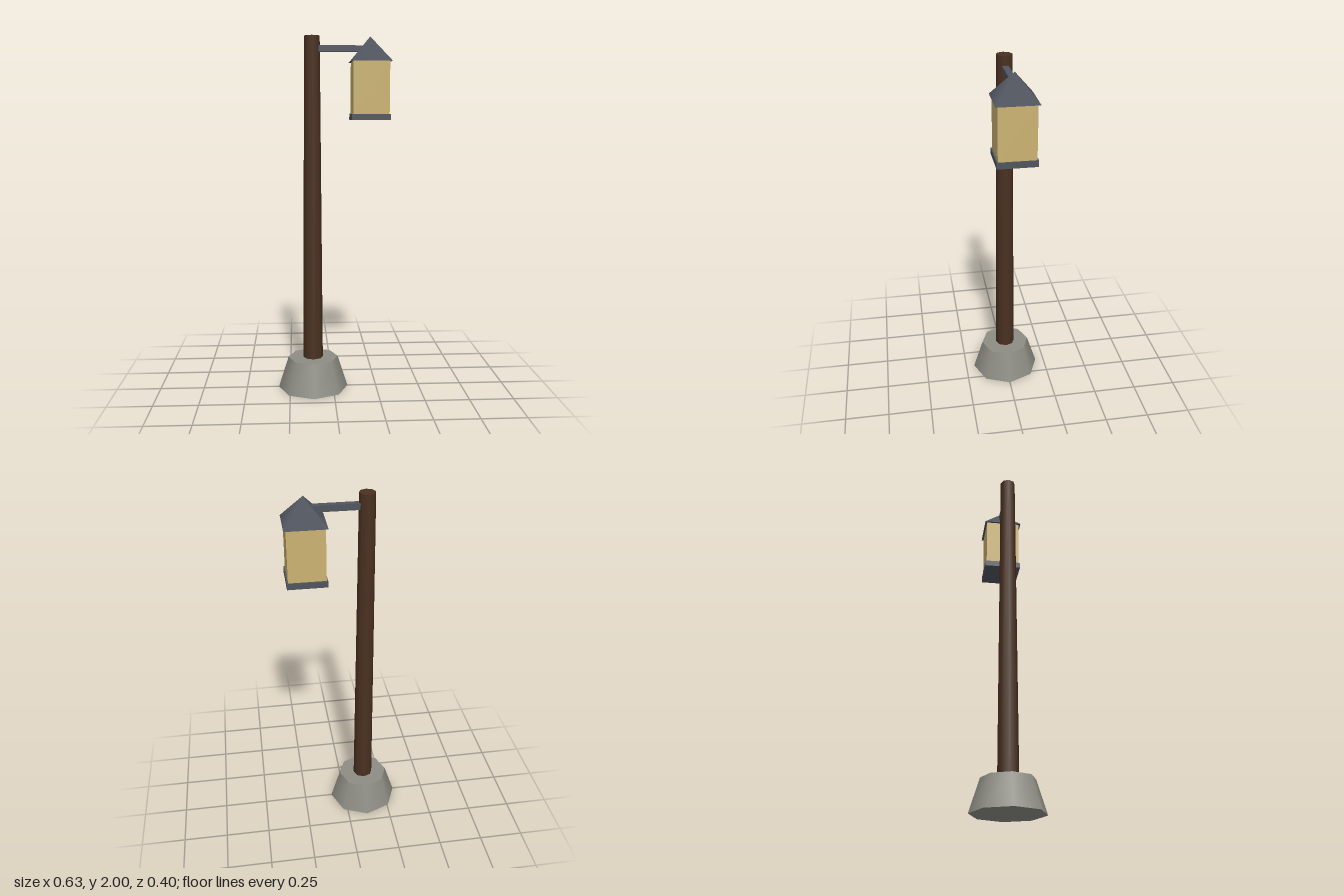
import * as THREE from 'three';

const POST_X = -0.116;
const LAMP_X = 0.204;

function material(name, color) {
  const m = new THREE.MeshStandardMaterial({ color });
  m.name = name;
  return m;
}

export function createModel() {
  const stone = material('stone', 0x8d8d84);
  const wood = material('darkWood', 0x4a3121);
  const metal = material('greyMetal', 0x50555f);
  const glass = material('amberGlass', 0xcbb372);

  const model = new THREE.Group();
  model.name = 'lampPost';

  // Places a geometry so that its underside sits at the given height
  function add(parent, name, geometry, mat, x, bottom) {
    geometry.computeBoundingBox();
    const mesh = new THREE.Mesh(geometry, mat);
    mesh.name = name;
    mesh.position.set(x, bottom - geometry.boundingBox.min.y, 0);
    parent.add(mesh);
    return mesh;
  }

  // Footing and tapered eight-sided post
  add(model, 'footing', new THREE.CylinderGeometry(0.143, 0.2, 0.18, 8), stone, POST_X, 0);
  add(model, 'post', new THREE.CylinderGeometry(0.043, 0.057, 1.9, 8), wood, POST_X, 0.1);

  // Arm from the post into the lantern roof
  add(model, 'arm', new THREE.BoxGeometry(0.3, 0.034, 0.034), metal, 0.04, 1.914);

  // Lantern: tray, glass body and pyramid roof
  const lantern = new THREE.Group();
  lantern.name = 'lantern';
  model.add(lantern);
  add(lantern, 'lanternTray', new THREE.BoxGeometry(0.212, 0.034, 0.212), metal, LAMP_X, 1.544);
  add(lantern, 'lanternGlass', new THREE.BoxGeometry(0.198, 0.284, 0.198), glass, LAMP_X, 1.578);
  const roof = new THREE.ConeGeometry(0.111 * Math.SQRT2, 0.136, 4).rotateY(Math.PI / 4);
  add(lantern, 'lanternRoof', roof, metal, LAMP_X, 1.861);

  return model;
}
